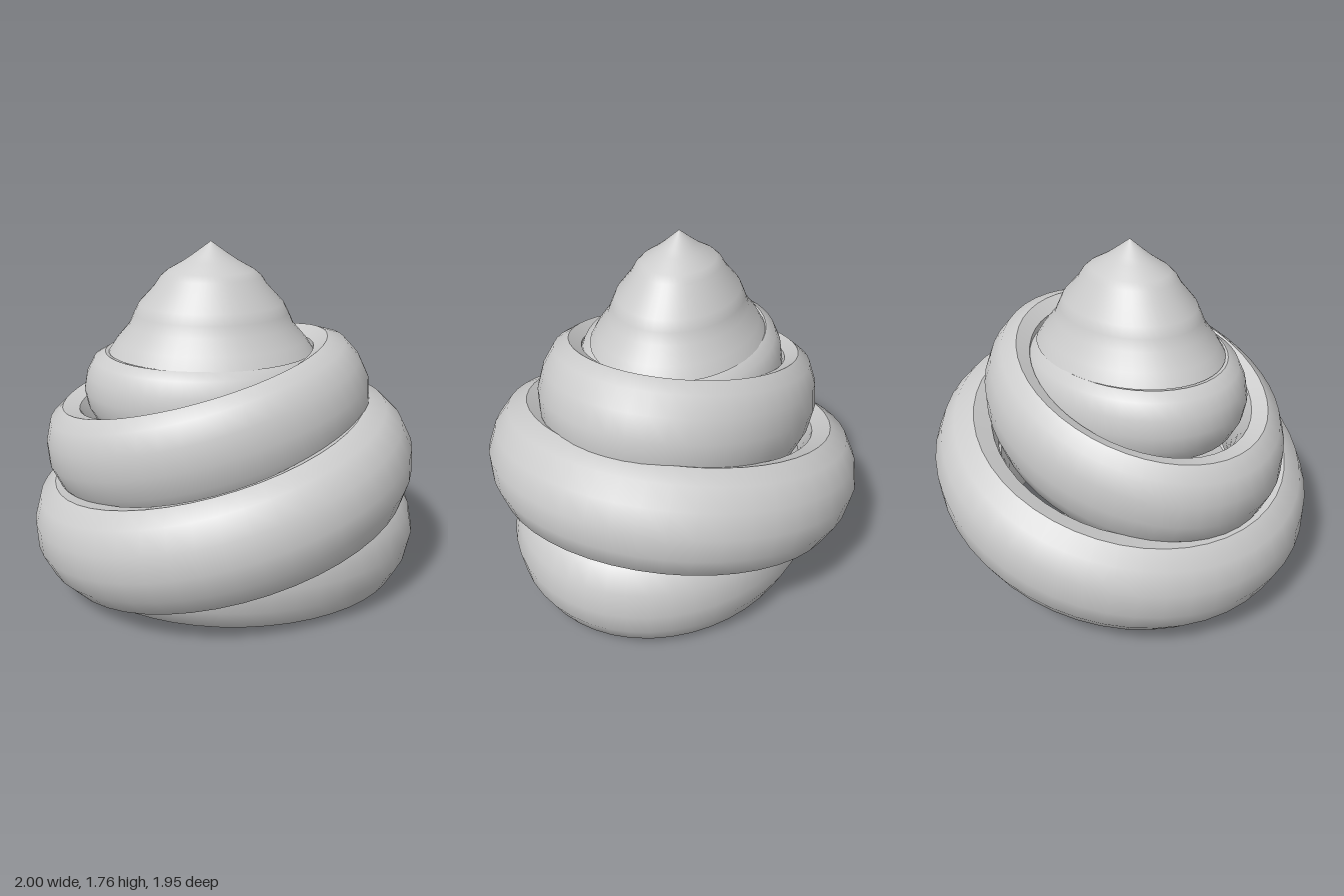
import * as THREE from 'three';
import { mergeGeometries } from 'three/addons/utils/BufferGeometryUtils.js';

const material = new THREE.MeshStandardMaterial({ color: 0xcccccc, side: THREE.DoubleSide });
const SEGMENTS = 48;

const lathe = (points) =>
  new THREE.LatheGeometry(points.map(([r, y]) => new THREE.Vector2(r, y)), SEGMENTS);

// Full profile from its upper half (listed from the middle up), running bottom to top
const mirrored = (half) => [...half.slice(1).reverse().map(([r, y]) => [r, -y]), ...half];

// Bulging outside, rims dished inwards and a waisted bore; sharp edges between the stretches
function ringGeometry() {
  const rim = [0.82, 1];
  const lip = [0.727, 0.87];
  const outer = mirrored([[1, 0], [0.975, 0.44], [0.915, 0.82], rim]);
  const bore = mirrored([[0.67, 0], [0.684, 0.45], lip]).reverse();
  return mergeGeometries([
    lathe(outer),
    lathe([rim, lip]),
    lathe(bore),
    lathe([[lip[0], -lip[1]], [rim[0], -rim[1]]]),
  ]);
}

export function createModel() {
  const model = new THREE.Group();
  const geometry = ringGeometry();
  const tilt = THREE.MathUtils.degToRad(15);

  // Stacked oval coils, with tilted ones in the middle
  const coils = [
    { name: 'baseCoil', x: 0.055, y: 0.27, size: [0.943, 0.27, 0.78], tilt: 0 },
    { name: 'lowerTiltedCoil', x: -0.018, y: 0.505, size: [1.01, 0.27, 0.975], tilt },
    { name: 'upperTiltedCoil', x: -0.093, y: 0.872, size: [0.847, 0.257, 0.7], tilt },
    { name: 'topCoil', x: -0.095, y: 1.035, size: [0.619, 0.187, 0.512], tilt: 0 },
  ];
  for (const c of coils) {
    const coil = new THREE.Mesh(geometry, material);
    coil.name = c.name;
    coil.scale.set(...c.size);
    coil.rotation.z = c.tilt;
    coil.position.set(c.x, c.y, 0);
    model.add(coil);
  }

  // Softly rippled peak with a small point
  const peak = new THREE.Mesh(lathe([
    [0.515, 1.22], [0.475, 1.28], [0.41, 1.355], [0.385, 1.41], [0.36, 1.46], [0.28, 1.545],
    [0.25, 1.59], [0.215, 1.62], [0.135, 1.665], [0.09, 1.695], [0, 1.76],
  ]), material);
  peak.name = 'peak';
  peak.scale.z = 0.82;
  peak.position.x = -0.07;
  model.add(peak);

  return model;
}
